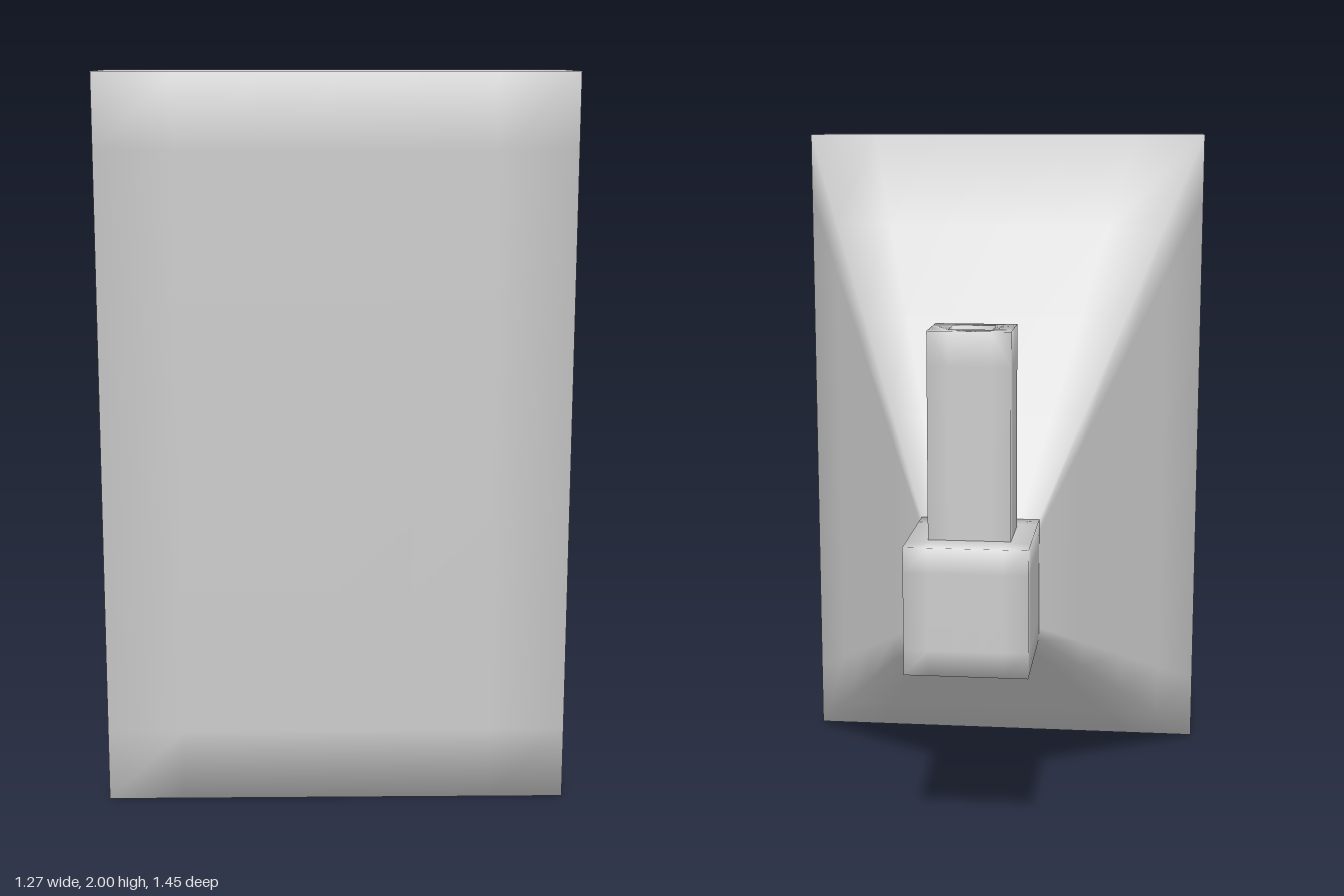
import * as THREE from 'three';
import { mergeVertices } from 'three/addons/utils/BufferGeometryUtils.js';

const grey = new THREE.MeshStandardMaterial({ color: 0xcccccc });

// Weld shared corners so shading blends softly across the hard edges
function soften(geometry) {
  geometry.deleteAttribute('uv');
  geometry.deleteAttribute('normal');
  const welded = mergeVertices(geometry, 1e-4);
  welded.computeVertexNormals();
  return welded;
}

function part(name, geometry, x, y, z) {
  const mesh = new THREE.Mesh(geometry, grey);
  mesh.name = name;
  mesh.position.set(x, y, z);
  return mesh;
}

// Rectangle outline with each side split into short pieces
function rectPoints(w, d, n) {
  const c = [[-1, -1], [1, -1], [1, 1], [-1, 1]];
  const points = [];
  c.forEach(([x, y], i) => {
    const [x2, y2] = c[(i + 1) % 4];
    for (let k = 0; k < n; k++) {
      const t = k / n;
      points.push(new THREE.Vector2((x + (x2 - x) * t) * w / 2, (y + (y2 - y) * t) * d / 2));
    }
  });
  return points;
}

// Upright slab in front that narrows to a small square at the back
function housingGeometry() {
  const geometry = new THREE.BoxGeometry(1, 1, 1, 6, 10, 6);
  const p = geometry.attributes.position;
  const { lerp } = THREE.MathUtils;
  for (let i = 0; i < p.count; i++) {
    const step = Math.round((0.5 - p.getZ(i)) * 6);
    const taper = Math.max(0, (step - 2) / 4);
    const z = step <= 2 ? 0.727 - step * 0.18 : lerp(0.367, -0.362, taper);
    const x = p.getX(i) * lerp(1.266, 0.344, taper);
    const y = lerp(1, 0.73, taper) + p.getY(i) * lerp(2, 0.362, taper);
    p.setXYZ(i, x, y, z);
  }
  return soften(geometry);
}

// Square tube standing on the block
function postGeometry() {
  const shape = new THREE.Shape(rectPoints(0.23, 0.178, 4));
  shape.holes.push(new THREE.Path(rectPoints(0.12, 0.094, 2).reverse()));
  const geometry = new THREE.ExtrudeGeometry(shape, { depth: 0.76, steps: 8, bevelEnabled: false });
  geometry.rotateX(-Math.PI / 2);
  return soften(geometry);
}

export function createModel() {
  const model = new THREE.Group();
  model.name = 'taperedHousing';
  model.add(part('housing', housingGeometry(), 0, 0, 0));
  model.add(part('rearBlock', soften(new THREE.BoxGeometry(0.344, 0.362, 0.364, 5, 5, 5)), 0, 0.73, -0.545));
  model.add(part('post', postGeometry(), 0, 0.73, -0.546));
  // Floor of the opening in the post
  const floor = new THREE.PlaneGeometry(0.12, 0.094).rotateX(-Math.PI / 2);
  model.add(part('openingFloor', floor, 0, 1.39, -0.546));
  return model;
}
